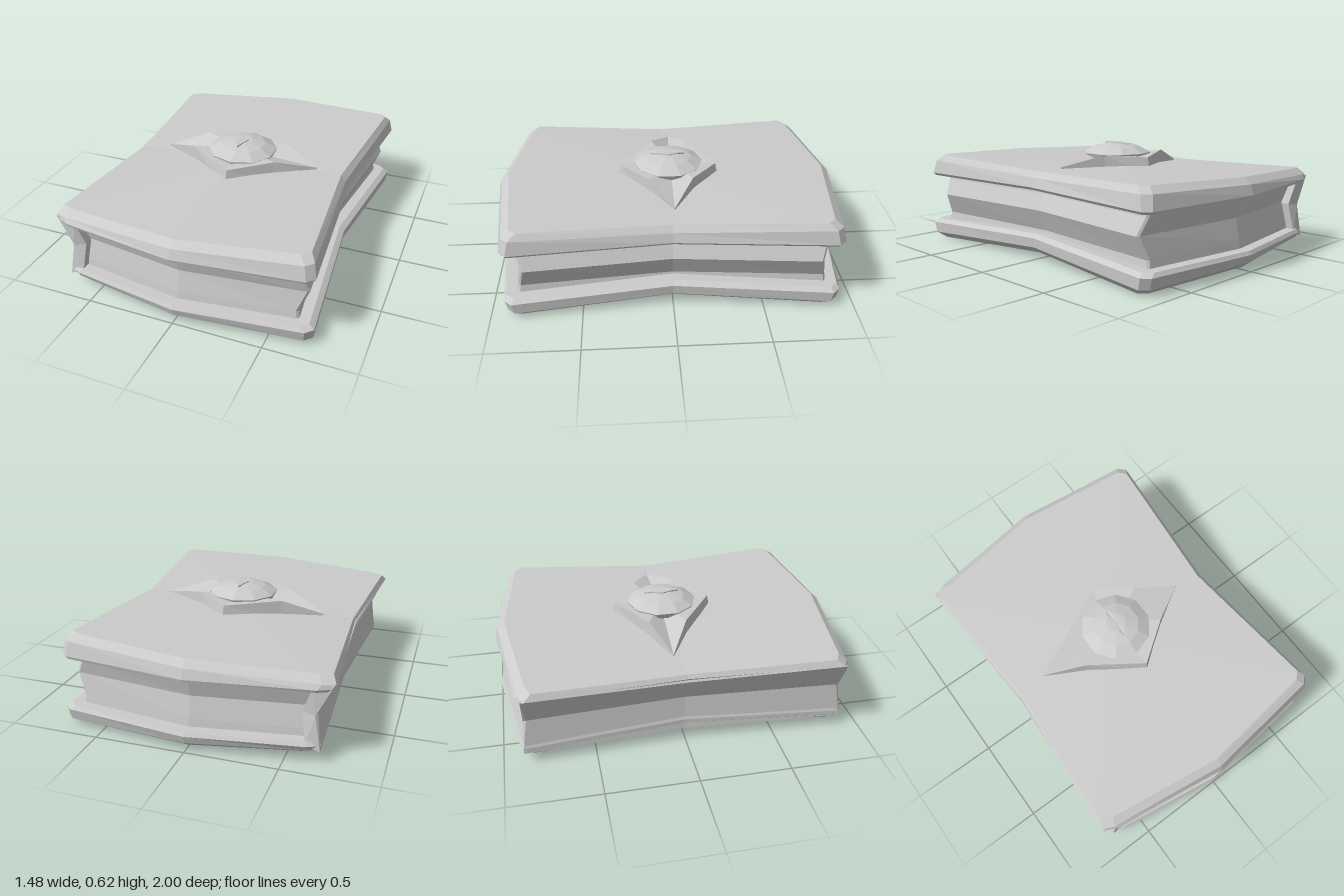
import * as THREE from 'three';

const material = new THREE.MeshStandardMaterial({ color: 0xcccccc, flatShading: true });

// Skin a stack of equal-length rings and close both ends with a fan.
function loft(name, rings) {
  const pos = [];
  const tri = (a, b, c) => pos.push(...a, ...b, ...c);
  const n = rings[0].length;
  const middle = (ring) => [0, 1, 2].map((k) => ring.reduce((s, p) => s + p[k], 0) / n);
  const last = rings[rings.length - 1];
  const c0 = middle(rings[0]), c1 = middle(last);
  for (let j = 0; j < n; j++) {
    const k = (j + 1) % n;
    for (let i = 0; i < rings.length - 1; i++) {
      const r = rings[i], s = rings[i + 1];
      tri(r[j], s[j], s[k]);
      tri(r[j], s[k], r[k]);
    }
    tri(c0, rings[0][j], rings[0][k]);
    tri(c1, last[k], last[j]);
  }
  const geo = new THREE.BufferGeometry();
  geo.setAttribute('position', new THREE.Float32BufferAttribute(pos, 3));
  geo.computeVertexNormals();
  const mesh = new THREE.Mesh(geo, material);
  mesh.name = name;
  return mesh;
}

// Book outline: bowed ends, pinched long sides, cut corners.
function outline({ right, rightMid, left, leftMid, end, corner, cut = 0.04 }) {
  const front = [
    [right, corner - cut], [right - cut, corner], [0, end],
    [left + cut * 1.6, corner - 0.01], [left, corner - cut],
  ];
  const back = front.map(([x, z]) => [x, -z]).reverse();
  return [[rightMid, 0], ...front, [leftMid, 0], ...back];
}

// Place an outline at a height, moved inwards by separate amounts.
function ring(pts, height, insetX = 0, insetZ = insetX, insetLeft = insetX) {
  return pts.map(([x, z]) => {
    const px = x > 0 ? x - insetX : x < 0 ? x + insetLeft : 0;
    const pz = z - Math.sign(z) * insetZ;
    return [px, typeof height === 'function' ? height(px, pz) : height, pz];
  });
}

export function createModel() {
  const book = new THREE.Group();
  book.name = 'book';

  // Covers: gently warped slabs with bevelled rims
  const top = outline({ right: 0.73, rightMid: 0.655, left: -0.74, leftMid: -0.69, end: 1, corner: 0.92 });
  const topY = (x, z) => 0.478 + 0.039 * x + 0.028 * Math.abs(z);
  book.add(loft('topCover', [
    ring(top, 0.4, 0.012, 0.004, 0.03),
    ring(top, 0.415, 0, 0, 0.02),
    ring(top, (x, z) => topY(x, z) - 0.036, 0.016, 0.018, 0),
    ring(top, topY, 0.045, 0.06, 0.022),
  ]));

  const bottom = outline({ right: 0.735, rightMid: 0.655, left: -0.685, leftMid: -0.635, end: 1, corner: 0.92 });
  const bottomY = (x, z) => 0.057 - 0.026 * x - 0.04 * Math.abs(z);
  const ledgeY = (x, z) => 0.15 - 0.033 * Math.abs(z);
  book.add(loft('bottomCover', [
    ring(bottom, bottomY, 0.045, 0.06, 0.04),
    ring(bottom, (x, z) => bottomY(x, z) + 0.036, 0.005, 0.014, 0.005),
    ring(bottom, (x, z) => ledgeY(x, z) - 0.02, 0, 0, 0.005),
    ring(bottom, ledgeY, 0.03, 0.012, 0.012),
  ]));

  // Pages: hollowed at both ends, ridged along the fore edge
  const pageRing = (y, right, inset) => ring(outline({
    right, rightMid: right - 0.075, left: -0.62, leftMid: -0.57,
    end: 0.93 - inset, corner: 0.855 - inset, cut: 0.012,
  }), y);
  book.add(loft('pages', [
    pageRing(0.09, 0.65, 0),
    pageRing(0.16, 0.637, 0.01),
    pageRing(0.28, 0.685, 0.035),
    pageRing(0.37, 0.645, 0.01),
    pageRing(0.42, 0.635, 0),
  ]));

  // Spine: bent strip joining the covers
  const spineProfile = [
    [-0.63, 0.41], [-0.58, 0.27], [-0.6, 0.1], [-0.68, 0.07], [-0.66, 0.27], [-0.735, 0.435],
  ];
  const spineEnds = [0.88, 0.86, 0.89, 0.89, 0.86, 0.88];
  book.add(loft('spine', [-1, 0, 1].map((s) =>
    spineProfile.map(([x, y], i) => [x + (s ? 0 : 0.048), y, s * spineEnds[i]]))));

  // Eyelids: raised diamond falling away to its two tips (x, height, z)
  const eye = new THREE.Group();
  eye.name = 'eye';
  const lid = [
    [0.46, 0.51, -0.02], [0.24, 0.568, 0.11], [0.01, 0.552, 0.275], [-0.28, 0.56, 0.08],
    [-0.5, 0.475, -0.04], [-0.27, 0.56, -0.13], [0.03, 0.552, -0.29], [0.23, 0.568, -0.14],
  ];
  eye.add(loft('eyelids', [
    lid.map(([x, , z]) => [x, 0.45, z * 1.07]),
    lid,
  ]));

  // Eyeball: faceted ten-sided dome
  const dome = [[0.19, 0.53], [0.203, 0.562], [0.135, 0.597], [0.06, 0.615], [0, 0.617]]
    .map(([r, y]) => new THREE.Vector2(r, y));
  const ball = new THREE.Mesh(new THREE.LatheGeometry(dome, 10), material);
  ball.name = 'eyeball';
  ball.position.z = -0.01;
  eye.add(ball);

  // Pupil: narrow upright slit
  const slit = [[0.015, -0.06], [0.036, 0], [0.015, 0.06], [0, 0.1], [-0.015, 0.06],
    [-0.036, 0], [-0.015, -0.06], [0, -0.1]].map(([x, z]) => [x, z - 0.01]);
  const slitY = (x, z) => 0.621 - 0.15 * Math.max(0, Math.abs(z + 0.01) - 0.06);
  eye.add(loft('pupil', [ring(slit, 0.595), ring(slit, slitY)]));
  book.add(eye);

  return book;
}
